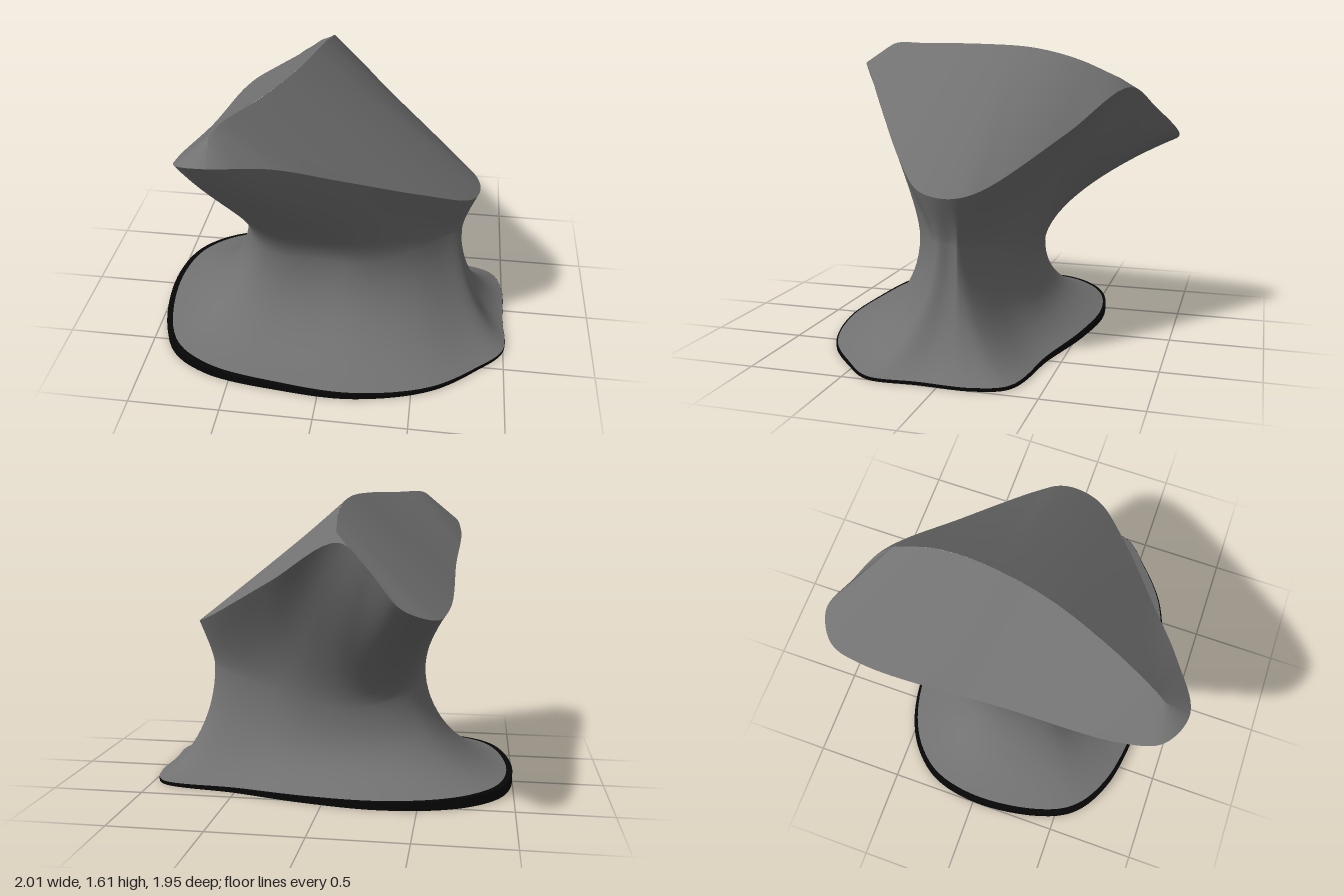
import * as THREE from 'three';

// Matched stations around the form, starting at +x and turning toward +z:
// [base x, z], [rim x, y, z], position along the top ridge
const STATIONS = [
  [[1.0, 0.1], [0.8, 0.88, 0.03], 0.55],
  [[1.0, 0.36], [0.75, 0.905, 0.18], 0.5],
  [[0.85, 0.53], [0.5, 1.05, 0.39], 0.4],
  [[0.6, 0.72], [0.1, 1.27, 0.65], 0.25],
  [[0.2, 0.83], [-0.2, 1.43, 0.84], 0.1],
  [[-0.2, 0.82], [-0.46, 1.49, 0.97], 0],
  [[-0.65, 0.74], [-0.62, 1.45, 0.9], 0.02],
  [[-0.88, 0.57], [-0.67, 1.38, 0.72], 0.1],
  [[-1.0, 0.1], [-0.66, 1.22, 0.1], 0.5],
  [[-0.95, -0.25], [-0.65, 1.06, -0.68], 0.88],
  [[-0.82, -0.42], [-0.59, 1.04, -0.9], 0.95],
  [[-0.62, -0.53], [-0.44, 1.1, -0.98], 1],
  [[-0.3, -0.58], [-0.28, 1.26, -0.86], 1],
  [[0.1, -0.53], [-0.12, 1.38, -0.74], 1],
  [[0.5, -0.43], [0.28, 1.16, -0.47], 0.85],
  [[0.93, -0.34], [0.69, 0.93, -0.17], 0.65],
  [[1.0, -0.18], [0.78, 0.89, -0.07], 0.6],
];
const RIDGE = [
  [-0.47, 1.58, 0.84], [-0.43, 1.61, 0.76], [-0.3, 1.61, 0.5], [-0.17, 1.61, 0.15],
  [-0.1, 1.59, -0.2], [-0.08, 1.53, -0.45], [-0.1, 1.43, -0.68],
];
const STEP = 8, N = STATIONS.length * STEP;
const FRONT = 5 * STEP, BACK = 13 * STEP; // where the ridge meets the rim

const V = (x, y, z) => new THREE.Vector3(x, y, z);

function ring(points) {
  const curve = new THREE.CatmullRomCurve3(points, true);
  return Array.from({ length: N }, (_, i) => curve.getPoint(i / N));
}

// Surface from point(i, v): i runs around the form, v from 0 to 1 across it
function sheet(name, material, i0, i1, rows, point) {
  const closed = i1 - i0 === N;
  const cols = closed ? N : i1 - i0 + 1;
  const pos = [], index = [];
  for (let r = 0; r <= rows; r++) {
    for (let c = 0; c < cols; c++) pos.push(...point((i0 + c) % N, r / rows).toArray());
  }
  for (let r = 0; r < rows; r++) {
    for (let c = 0; c < i1 - i0; c++) {
      const a = r * cols + c, b = r * cols + ((c + 1) % cols);
      index.push(a, a + cols, b, b, a + cols, b + cols);
    }
  }
  const geometry = new THREE.BufferGeometry();
  geometry.setAttribute('position', new THREE.Float32BufferAttribute(pos, 3));
  geometry.setIndex(index);
  geometry.computeVertexNormals();
  const mesh = new THREE.Mesh(geometry, material);
  mesh.name = name;
  return mesh;
}

export function createModel() {
  const stone = new THREE.MeshStandardMaterial({ color: 0x717171 });
  stone.name = 'grey stone';
  const black = new THREE.MeshStandardMaterial({ color: 0x060606 });
  black.name = 'black base';

  const floor = ring(STATIONS.map(([b]) => V(b[0], 0, b[1])));
  const rim = ring(STATIONS.map(([, r]) => V(...r)));
  const ridge = new THREE.CatmullRomCurve3(RIDGE.map((p) => V(...p)));

  // The plate is thicker toward -x, where a wider black lip shows on top
  const plateTop = floor.map((p) => V(p.x, 0.036 - 0.022 * p.x, p.z));
  const foot = plateTop.map((p) => {
    const inset = 1 - 0.016 * (1.1 - p.x);
    return V(p.x * inset, p.y + 0.003, p.z * inset);
  });

  // The waist is a shrunken base outline, pinched toward +x, most of all at the back,
  // and dipping at front and back
  const waist = floor.map((p) => {
    const front = p.z > 0;
    const pinch = p.x > 0 ? (front ? 0.35 : 0.8) : (front ? -0.2 : 0);
    const z = 0.434 * p.z * (1 - pinch * p.x ** 2);
    return V(0.105 + 0.605 * p.x, 0.62 + 0.33 * z - 1.39 * z * z, z);
  });

  // Each side profile: flared foot, upright waist, overhanging rim that is fuller at the front
  const feet = foot.map((b, i) => {
    const w = waist[i];
    const flare = b.clone().lerp(w, 0.55).setY(b.y + 0.06);
    return new THREE.CubicBezierCurve3(b, flare, V(w.x, w.y - 0.27, w.z), w);
  });
  const necks = waist.map((w, i) => {
    const r = rim[i];
    const reach = r.clone().lerp(w, 0.4);
    reach.y = THREE.MathUtils.lerp(r.y, w.y, 0.34 + 0.12 * r.z);
    const rise = (0.25 - 0.04 * r.z) * (r.y - w.y);
    return new THREE.CubicBezierCurve3(w, V(w.x, w.y + rise, w.z), reach, r);
  });

  // Straight rulings from the rim up to the ridge
  const ridgeAt = (i) => {
    const k = Math.floor(i / STEP);
    const next = STATIONS[(k + 1) % STATIONS.length];
    return ridge.getPoint(THREE.MathUtils.lerp(STATIONS[k][2], next[2], (i % STEP) / STEP));
  };
  const toRidge = (i, v) => rim[i].clone().lerp(ridgeAt(i), v);

  const group = new THREE.Group();
  group.name = 'sculptedStand';
  group.add(
    sheet('baseUnderside', black, 0, N, 1, (i, v) => floor[i].clone().multiplyScalar(v)),
    sheet('baseEdge', black, 0, N, 1, (i, v) => floor[i].clone().lerp(plateTop[i], v)),
    sheet('baseLip', black, 0, N, 1, (i, v) => plateTop[i].clone().lerp(foot[i], v)),
    sheet('body', stone, 0, N, 32, (i, v) => (v < 0.5 ? feet[i].getPoint(v * 2) : necks[i].getPoint(v * 2 - 1))),
    sheet('slopingTopFace', stone, BACK, FRONT + N, 6, toRidge),
    sheet('steepTopFace', stone, FRONT, BACK, 6, toRidge),
  );
  return group;
}
